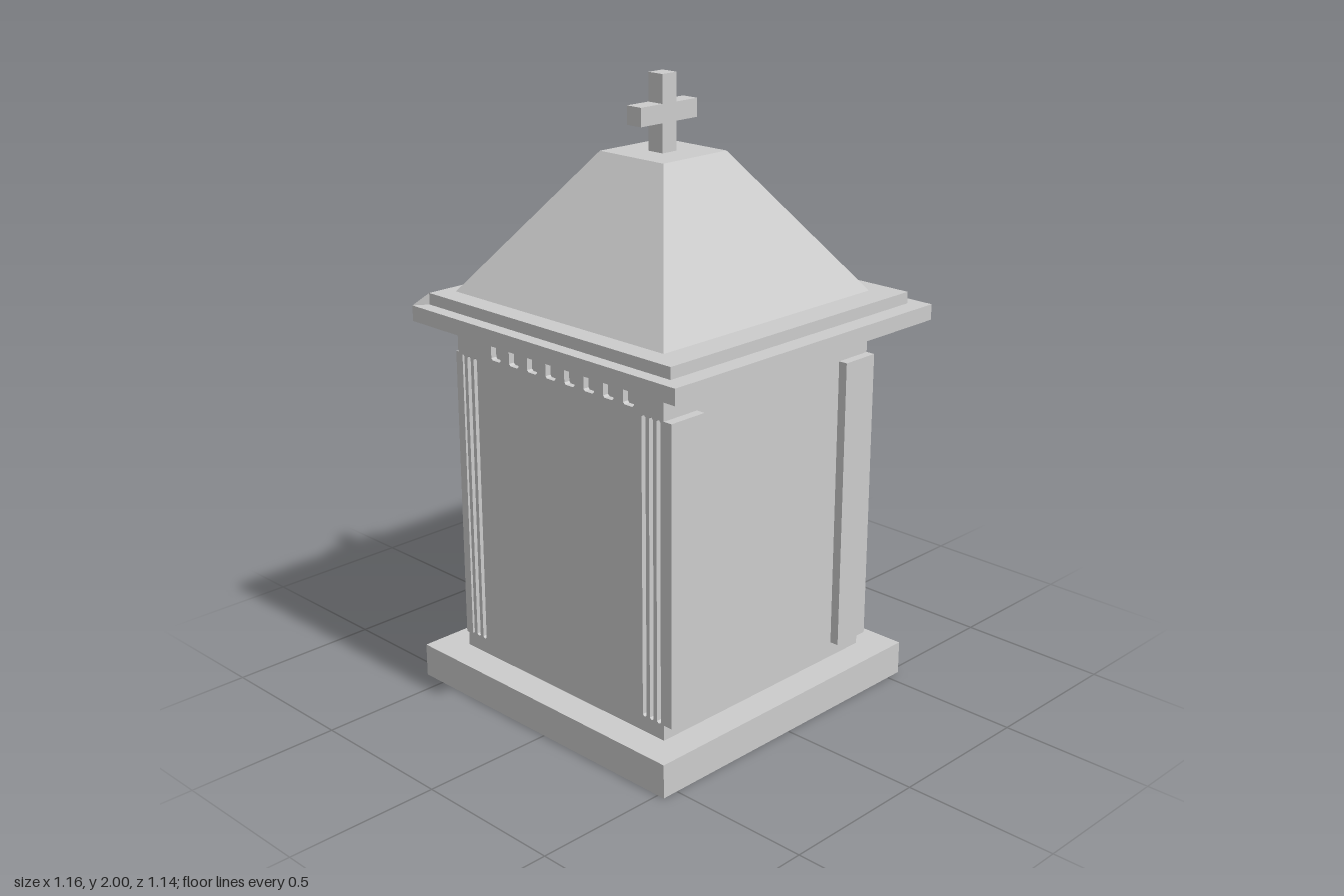
import * as THREE from 'three';

const mat = new THREE.MeshStandardMaterial({ color: 0xcccccc, flatShading: true });

function add(parent, name, geometry, x = 0, y = 0, z = 0) {
  const mesh = new THREE.Mesh(geometry, mat);
  mesh.name = name;
  mesh.position.set(x, y, z);
  parent.add(mesh);
  return mesh;
}

// Block between two rectangles [x0, x1, z0, z1] at heights y0 and y1
function block(y0, y1, low, high = low) {
  const g = new THREE.BoxGeometry(1, 1, 1);
  const p = g.attributes.position;
  for (let i = 0; i < p.count; i++) {
    const r = p.getY(i) < 0 ? low : high;
    p.setXYZ(i, p.getX(i) < 0 ? r[0] : r[1], p.getY(i) < 0 ? y0 : y1, p.getZ(i) < 0 ? r[2] : r[3]);
  }
  g.computeVertexNormals();
  return g;
}

// Upright rectangle outline, with small chamfered corners when c > 0
function outline(x0, x1, y0, y1, c = 0) {
  const pts = c === 0
    ? [[x0, y0], [x1, y0], [x1, y1], [x0, y1]]
    : [[x0 + c, y0], [x1 - c, y0], [x1, y0 + c], [x1, y1 - c], [x1 - c, y1], [x0 + c, y1], [x0, y1 - c], [x0, y0 + c]];
  return pts.map(([x, y]) => new THREE.Vector2(x, y));
}

const HALF = 0.4525, DEPTH = 0.02;
const FLUTES = [0.371, 0.401, 0.431];
const flute = (u) => new THREE.Path(outline(u - 0.008, u + 0.008, 0.16, 1.122, 0.005));
const extrude = (shape, depth) => new THREE.ExtrudeGeometry(shape, { depth, bevelEnabled: false });

// Wall skin with recessed corner flutes and a row of dentil notches
function wall(shift) {
  const shape = new THREE.Shape(outline(-HALF, HALF, 0.11, 1.205));
  for (const u of FLUTES) shape.holes.push(flute(u), flute(-u));
  for (let i = 0; i < 8; i++) {
    const u = shift + (i - 3.5) * 0.083;
    shape.holes.push(new THREE.Path(outline(u - 0.022, u + 0.022, 1.135, 1.204, 0.006)));
  }
  return extrude(shape, DEPTH);
}

export function createModel() {
  const model = new THREE.Group();
  model.name = 'chapel';

  add(model, 'base', block(0, 0.11, [-0.58, 0.525, -0.555, 0.555]));

  // Body: solid core, three carved walls and a plain right-hand side
  const body = new THREE.Group();
  body.name = 'body';
  body.position.x = -0.0275;
  model.add(body);
  const inner = HALF - DEPTH;
  add(body, 'core', block(0.11, 1.205, [-inner, HALF, -inner, inner]));
  add(body, 'frontWall', wall(0.02), 0, 0, inner);
  add(body, 'backWall', wall(-0.02), 0, 0, -inner).rotation.y = Math.PI;
  add(body, 'doorWall', wall(0), -inner, 0, 0).rotation.y = -Math.PI / 2;

  // Corner pilasters: plain on one side, thin and fluted on the door side
  for (const s of [-1, 1]) {
    const z0 = s > 0 ? 0.318 : -HALF, z1 = s > 0 ? HALF : -0.318;
    add(body, 'plainPilaster', block(0.16, 1.122, [HALF, HALF + 0.03, z0, z1]));
    const shape = new THREE.Shape(outline(z0, z1, 0.155, 1.127));
    for (const u of FLUTES) shape.holes.push(flute(s * u));
    add(body, 'flutedPilaster', extrude(shape, 0.01), -HALF, 0, 0).rotation.y = -Math.PI / 2;
  }

  // Padlock on the door side
  const lock = new THREE.Group();
  lock.name = 'padlock';
  lock.position.set(-0.505, 0.685, 0.33);
  model.add(lock);
  add(lock, 'lockBody', new THREE.BoxGeometry(0.028, 0.04, 0.045));
  add(lock, 'shackle', new THREE.TorusGeometry(0.014, 0.005, 6, 10, Math.PI), 0, 0.03, 0).rotation.y = Math.PI / 2;
  for (const s of [-1, 1]) add(lock, 'shackleLeg', new THREE.CylinderGeometry(0.005, 0.005, 0.014, 6), 0, 0.024, s * 0.014);
  add(lock, 'hasp', new THREE.BoxGeometry(0.024, 0.01, 0.012), 0.008, 0.038, 0);

  // Cornice: flared underside, fascia and upper step
  const foot = [-0.48, 0.425, -0.4525, 0.4525];
  const eave = [-0.555, 0.58, -0.57, 0.566];
  const step = [-0.525, 0.52, -0.525, 0.522];
  add(model, 'corniceFlare', block(1.205, 1.235, foot, eave));
  add(model, 'corniceFascia', block(1.235, 1.285, eave));
  add(model, 'corniceStep', block(1.285, 1.322, step));

  // Sloping fillet along the door side of the step
  const fillet = new THREE.BoxGeometry(1, 1, 1);
  const p = fillet.attributes.position;
  for (let i = 0; i < p.count; i++) {
    const r = p.getX(i) < 0 ? eave : step;
    const high = p.getX(i) > 0 && p.getY(i) > 0;
    p.setXYZ(i, r[0], high ? 1.322 : 1.285, p.getZ(i) < 0 ? r[2] : r[3]);
  }
  fillet.computeVertexNormals();
  add(model, 'corniceFillet', fillet);

  // Truncated pyramid roof
  add(model, 'roof', block(1.322, 1.762, [-0.48, 0.425, -0.4525, 0.4525], [-0.162, 0.108, -0.138, 0.133]));

  // Cross on top, arms running front to back
  add(model, 'crossPost', block(1.762, 2, [-0.057, 0.002, -0.031, 0.03]));
  for (const s of [-1, 1]) add(model, 'crossArm', new THREE.BoxGeometry(0.059, 0.058, 0.09), -0.0275, 1.882, s * 0.075);

  return model;
}
